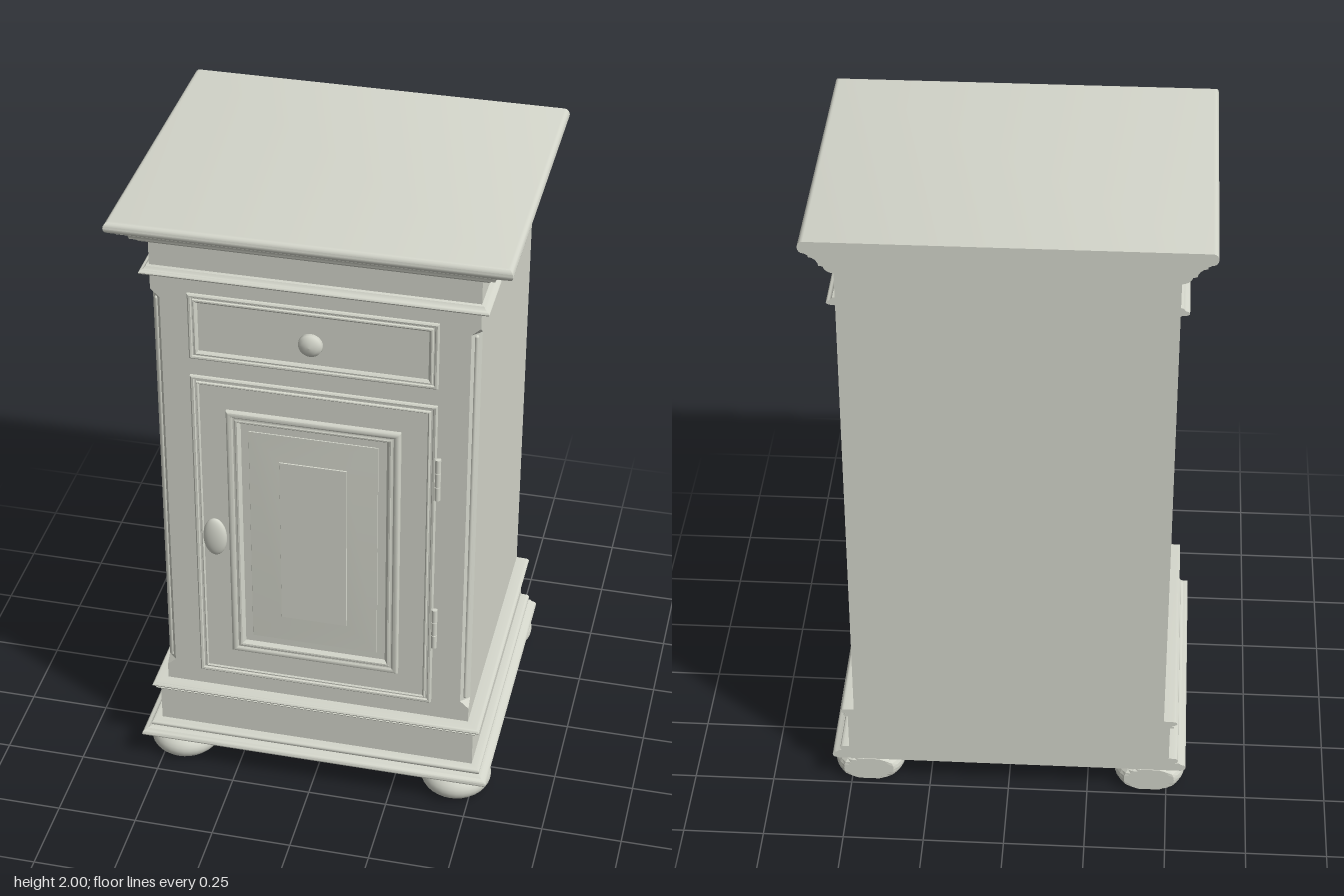
import * as THREE from 'three';
import { toCreasedNormals } from 'three/addons/utils/BufferGeometryUtils.js';

const paint = new THREE.MeshStandardMaterial({ color: 0xd4d6cb });
paint.name = 'greyPaint';

const HALF = 0.485, FRONT = 0.385, BACK = -0.485;

// Skin closed rings of points; optionally cap the last one
function loft(rings, cap = true) {
  const pos = [];
  const tri = (a, b, c) => {
    const area = new THREE.Triangle(a, b, c).getArea();
    if (area > 1e-9) for (const p of [a, b, c]) pos.push(p.x, p.y, p.z);
  };
  const n = rings[0].length;
  for (let i = 0; i < rings.length - 1; i++) {
    for (let j = 0; j < n; j++) {
      const k = (j + 1) % n;
      const a = rings[i][j], b = rings[i][k], c = rings[i + 1][k], d = rings[i + 1][j];
      tri(a, b, c);
      tri(a, c, d);
    }
  }
  if (cap) {
    const r = rings[rings.length - 1];
    for (let j = 1; j < n - 1; j++) tri(r[0], r[j], r[j + 1]);
  }
  const g = new THREE.BufferGeometry();
  g.setAttribute('position', new THREE.Float32BufferAttribute(pos, 3));
  g.computeVertexNormals();
  return toCreasedNormals(g, 0.65);
}

// Case outline at overhang d, height y, front corners chamfered by c; the back stays flat
function caseRing([d, y, c = 0]) {
  const x = HALF + d, z = FRONT + d;
  return [[-x, BACK], [-x, z - c], [-x + c, z], [x - c, z], [x, z - c], [x, BACK]]
    .map(([px, pz]) => new THREE.Vector3(px, y, pz));
}

// Rectangle on the front, inset from its bounds by d and raised by h
function frontRing([x0, x1, y0, y1], [d, h]) {
  return [[x0 + d, y0 + d], [x1 - d, y0 + d], [x1 - d, y1 - d], [x0 + d, y1 - d]]
    .map(([x, y]) => new THREE.Vector3(x, y, FRONT + h));
}

// Half-round edge points between two heights, bulging by r
function bullnose(d, y0, y1, r, steps = 6) {
  return Array.from({ length: steps + 1 }, (_, i) => {
    const t = Math.PI * (i / steps - 0.5);
    return [d + r * Math.cos(t), (y0 + y1) / 2 + Math.sin(t) * (y1 - y0) / 2];
  });
}

export function createModel() {
  const group = new THREE.Group();
  const add = (name, geometry, x = 0, y = 0, z = 0) => {
    const m = new THREE.Mesh(geometry, paint);
    m.name = name;
    m.position.set(x, y, z);
    group.add(m);
    return m;
  };
  const addCase = (name, profile, cap) => add(name, loft(profile.map(caseRing), cap));
  const addFront = (name, bounds, profile, cap) =>
    add(name, loft(profile.map(p => frontRing(bounds, p)), cap));

  // Plinth with base moulding, open below
  addCase('plinth', [
    [0, 0.09], [0.06, 0.09], ...bullnose(0.062, 0.092, 0.114, 0.012), [0.058, 0.116],
    [0.053, 0.12], ...bullnose(0.04, 0.121, 0.139, 0.009), [0.02, 0.14],
    [0.02, 0.265], ...bullnose(0.025, 0.265, 0.275, 0.008),
    [0.028, 0.277], ...bullnose(0.031, 0.277, 0.292, 0.011), [0, 0.293],
  ]);

  // Underside frame with clipped corners around a shallow hollow
  const frame = new THREE.Shape([[-0.5, -0.4], [0.5, -0.4], [0.5, 0.484], [-0.5, 0.484]]
    .map(p => new THREE.Vector2(...p)));
  const k = 0.14, hx = 0.465, hf = -0.365, hb = 0.465;
  frame.holes.push(new THREE.Path([
    [-hx + k, hf], [-hx, hf + k], [-hx, hb - k], [-hx + k, hb],
    [hx - k, hb], [hx, hb - k], [hx, hf + k], [hx - k, hf],
  ].map(p => new THREE.Vector2(...p))));
  const frameGeometry = new THREE.ExtrudeGeometry(frame, { depth: 0.185, bevelEnabled: false });
  frameGeometry.rotateX(-Math.PI / 2);
  add('baseFrame', frameGeometry, 0, 0.09, 0);
  add('bottomBoard', new THREE.BoxGeometry(0.96, 0.02, 0.86), 0, 0.275, -0.05);

  // Main case with stopped chamfers on its front corners
  addCase('cabinetCase', [
    [0, 0.29], [0, 0.345], [0, 0.37, 0.027], [0, 1.715, 0.027], [0, 1.74], [0, 1.8],
  ]);
  for (const s of [-1, 1]) {
    const bead = new THREE.CapsuleGeometry(0.007, 1.32, 4, 10);
    add(s > 0 ? 'leftCornerBead' : 'rightCornerBead', bead, s * 0.471, 1.043, 0.371);
  }

  // Frieze, neck bead and cornice
  addCase('cornice', [
    [0, 1.795], [0.014, 1.796], ...bullnose(0.016, 1.797, 1.811, 0.01), [0.012, 1.814],
    [0.008, 1.82], [0, 1.822], [0, 1.9],
    [0.01, 1.902], [0.02, 1.907], [0.027, 1.914], [0.03, 1.922], [0.042, 1.924],
    [0.044, 1.932], [0.05, 1.942], [0.06, 1.949], [0.07, 1.951],
    [0.071, 1.957], [0.08, 1.962], ...bullnose(0.084, 1.963, 2, 0.016, 8),
  ]);

  // Drawer front: beaded border around a flat field
  addFront('drawer', [-0.375, 0.367, 1.52, 1.742], [
    [0, 0], [0.001, 0.006], [0.005, 0.009], [0.01, 0.008], [0.013, 0.004], [0.016, 0.004],
    [0.018, 0.009], [0.022, 0.01], [0.026, 0.007], [0.03, 0.002],
  ]);

  // Door slab with edge bead
  addFront('door', [-0.375, 0.367, 0.35, 1.462], [
    [0, 0], [0.001, 0.006], [0.005, 0.009], [0.011, 0.008], [0.014, 0.003], [0.019, 0.003],
    [0.021, 0.009], [0.024, 0.01], [0.028, 0.006],
  ]);

  // Raised moulding around the door panel
  addFront('doorMoulding', [-0.266, 0.262, 0.455, 1.357], [
    [0, 0.005], [0, 0.014], [0.004, 0.019], [0.01, 0.021], [0.016, 0.02], [0.021, 0.016],
    [0.025, 0.016], [0.029, 0.019], [0.034, 0.018], [0.039, 0.012], [0.043, 0.007],
  ], false);

  // Fielded panel with a wide, shallow bevel
  addFront('doorPanel', [-0.226, 0.22, 0.495, 1.317], [
    [0, 0.007], [0.026, 0.007], [0.027, 0.009], [0.12, 0.013], [0.121, 0.016],
  ]);

  // Drawer knob and oval door handle
  const knob = new THREE.LatheGeometry([
    [0.022, 0], [0.014, 0.006], [0.014, 0.01], [0.03, 0.015], [0.037, 0.024],
    [0.035, 0.034], [0.024, 0.042], [0.01, 0.046], [0, 0.047],
  ].map(p => new THREE.Vector2(...p)), 24);
  knob.rotateX(Math.PI / 2);
  add('drawerKnob', knob, -0.004, 1.632, FRONT);
  add('doorHandle', new THREE.SphereGeometry(1, 24, 16), -0.304, 0.906, 0.421)
    .scale.set(0.037, 0.067, 0.018);
  const stem = new THREE.CylinderGeometry(0.014, 0.018, 0.03, 16);
  stem.rotateX(Math.PI / 2);
  add('doorHandleStem', stem, -0.304, 0.906, 0.402);

  // Three-knuckle hinges
  for (const y of [0.648, 1.205]) {
    for (const i of [-1, 0, 1]) {
      add('hingeKnuckle', new THREE.CylinderGeometry(0.009, 0.009, 0.047, 12),
        0.372, y + i * 0.049, 0.391);
    }
  }

  // Bun feet; the rear pair is sliced flat against the back
  const bun = Array.from({ length: 13 }, (_, i) => {
    const t = Math.PI * (i / 12 - 0.5);
    return new THREE.Vector2(0.055 + 0.057 * Math.cos(t), 0.047 + 0.047 * Math.sin(t));
  });
  const profile = [new THREE.Vector2(0, 0), ...bun, new THREE.Vector2(0, 0.094)];
  for (const s of [-1, 1]) {
    for (const z of [0.345, -0.41]) {
      const foot = toCreasedNormals(new THREE.LatheGeometry(profile, 32), 0.6);
      const p = foot.attributes.position;
      for (let i = 0; i < p.count; i++) p.setZ(i, Math.max(p.getZ(i), BACK - z));
      if (z < 0) foot.computeVertexNormals();
      add(z > 0 ? 'frontFoot' : 'backFoot', foot, s * 0.445, 0, z);
    }
  }
  return group;
}
